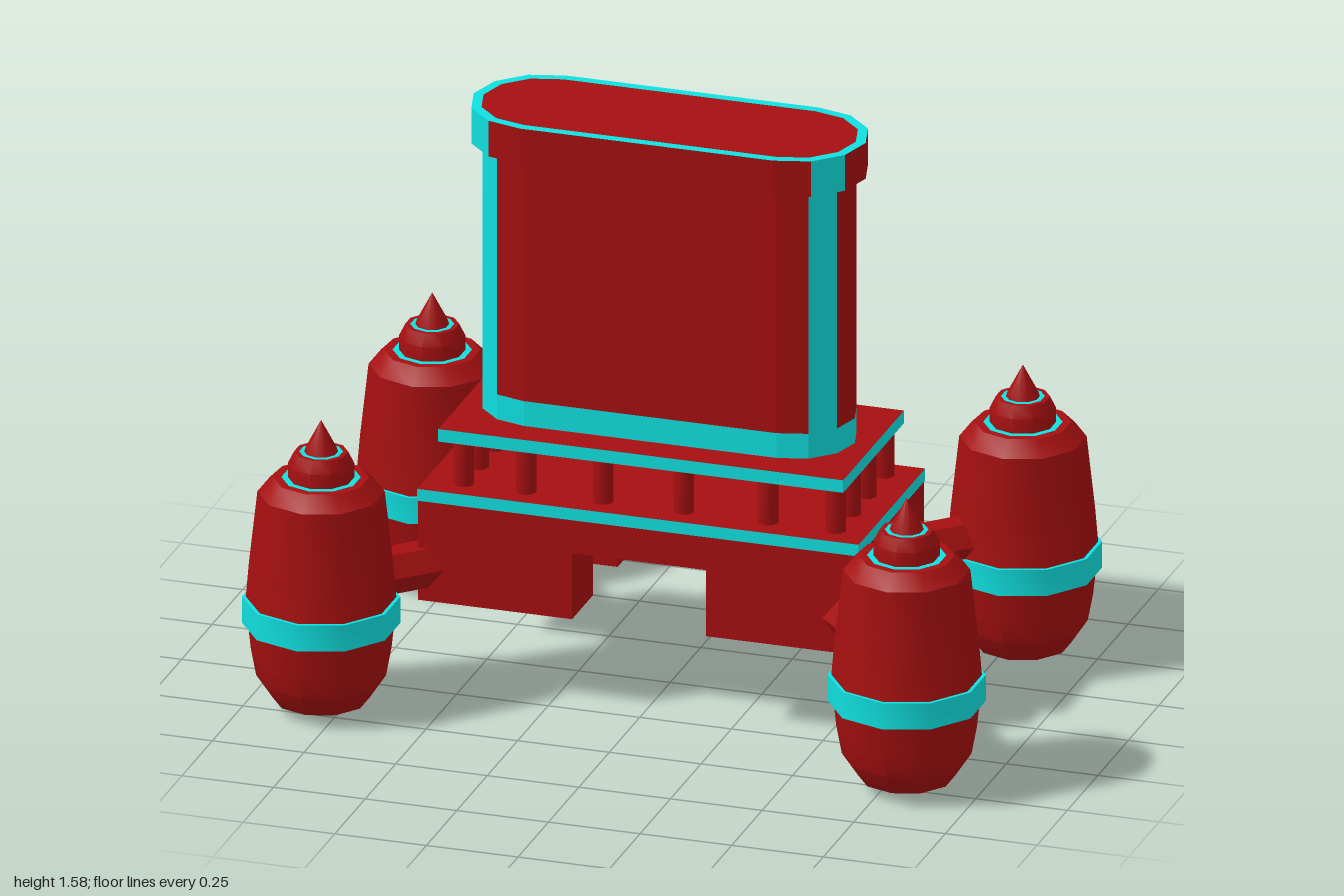
import * as THREE from 'three';
import { toCreasedNormals } from 'three/addons/utils/BufferGeometryUtils.js';

const red = new THREE.MeshStandardMaterial({ color: 0xa50f10 });
const cyan = new THREE.MeshStandardMaterial({ color: 0x10dede });
const Z0 = -0.008; // the body sits slightly behind the centre

function add(parent, name, geometry, material, x = 0, y = 0, z = 0) {
  const mesh = new THREE.Mesh(geometry, material);
  mesh.name = name;
  mesh.position.set(x, y, z);
  parent.add(mesh);
  return mesh;
}

// Outline with straight sides and six-sided half-round ends, counter-clockwise
function stadium(r) {
  const pts = [];
  for (const side of [1, -1]) {
    for (let i = 0; i <= 6; i++) {
      const a = (i / 6 - 0.5) * Math.PI;
      pts.push(new THREE.Vector2(side * (0.345 + r * Math.cos(a)), side * r * Math.sin(a)));
    }
  }
  return pts;
}

// Upright flat panels along the outline, for the chosen edges only
function walls(r, y0, y1, pick) {
  const pts = stadium(r), pos = [];
  pts.forEach((p, i) => {
    if (!pick(i)) return;
    const q = pts[(i + 1) % pts.length];
    pos.push(p.x, y0, -p.y, q.x, y0, -q.y, q.x, y1, -q.y);
    pos.push(p.x, y0, -p.y, q.x, y1, -q.y, p.x, y1, -p.y);
  });
  const g = new THREE.BufferGeometry();
  g.setAttribute('position', new THREE.Float32BufferAttribute(pos, 3));
  g.computeVertexNormals();
  return g;
}

// Horizontal stadium face, optionally a ring, facing up (1) or down (-1)
function plate(r, hole, facing) {
  const shape = new THREE.Shape(stadium(r));
  if (hole) shape.holes.push(new THREE.Path(stadium(hole)));
  return new THREE.ShapeGeometry(shape).rotateX(-facing * Math.PI / 2);
}

function lathe(points) {
  const g = new THREE.LatheGeometry(points.map(p => new THREE.Vector2(...p)), 10);
  return toCreasedNormals(g, 0.65);
}

function makeTower() {
  const tower = new THREE.Group();
  tower.name = 'tower';
  const strip = i => [1, 4, 8, 11].includes(i);
  const plain = i => !strip(i);
  add(tower, 'towerFoot', walls(0.16, 0.735, 0.805, () => true), cyan);
  add(tower, 'towerWalls', walls(0.16, 0.805, 1.48, plain), red);
  add(tower, 'towerStrips', walls(0.16, 0.805, 1.48, strip), cyan);
  add(tower, 'crownWalls', walls(0.19, 1.48, 1.58, plain), red);
  add(tower, 'crownStrips', walls(0.19, 1.48, 1.58, strip), cyan);
  add(tower, 'crownUnderside', plate(0.19, 0.16, -1), red, 0, 1.48);
  add(tower, 'crownRim', plate(0.19, 0.163, 1), cyan, 0, 1.58);
  add(tower, 'roof', plate(0.163, 0, 1), red, 0, 1.58);
  tower.position.set(-0.004, 0, Z0);
  return tower;
}

function makeBase() {
  const base = new THREE.Group();
  base.name = 'base';
  // Two walls, each with an opening in the middle
  const arch = new THREE.Shape([
    [-0.6, 0.26], [-0.18, 0.26], [-0.18, 0.445], [0.185, 0.445],
    [0.185, 0.26], [0.6, 0.26], [0.6, 0.54], [-0.6, 0.54],
  ].map(p => new THREE.Vector2(...p)));
  for (const z of [0.102, -0.272]) {
    add(base, 'baseWall', new THREE.ExtrudeGeometry(arch, { depth: 0.17, bevelEnabled: false }), red, 0, 0, z);
  }
  // Decks: red faces with cyan edges
  const edged = [cyan, cyan, red, red, cyan, cyan];
  add(base, 'lowerDeck', new THREE.BoxGeometry(1.205, 0.033, 0.546), edged, 0, 0.554, 0);
  add(base, 'upperDeck', new THREE.BoxGeometry(1.105, 0.035, 0.5), edged, 0, 0.718, 0);
  // Pillars around the edge between the decks
  const post = new THREE.CylinderGeometry(0.028, 0.028, 0.14, 8);
  const postShape = toCreasedNormals(post, 0.9);
  const xs = [-0.5, -0.33, -0.12, 0.1, 0.33, 0.515];
  const zs = [0.197, 0.077, -0.053, -0.2];
  xs.forEach((x, i) => zs.forEach((z, j) => {
    if (i === 0 || i === 5 || j === 0 || j === 3) add(base, 'pillar', postShape, red, x, 0.635, z);
  }));
  base.position.z = Z0;
  return base;
}

function makePod(x, z) {
  const pod = new THREE.Group();
  pod.name = 'pod';
  add(pod, 'podBottomKnob', lathe([[0, 0.003], [0.045, 0.01], [0.075, 0.026]]), red);
  add(pod, 'podBottomRing', lathe([[0.07, 0.022], [0.1, 0.022]]), cyan);
  add(pod, 'podLowerHull', lathe([[0.1, 0.022], [0.125, 0.032], [0.168, 0.095], [0.182, 0.17], [0.19, 0.245]]), red);
  add(pod, 'podBand', lathe([[0.188, 0.242], [0.205, 0.242], [0.205, 0.315], [0.19, 0.315]]), cyan);
  add(pod, 'podUpperHull', lathe([[0.195, 0.315], [0.187, 0.41], [0.165, 0.61], [0.125, 0.65], [0.103, 0.65]]), red);
  add(pod, 'podTopRing', lathe([[0.103, 0.65], [0.085, 0.65]]), cyan);
  add(pod, 'podCap', lathe([[0.086, 0.65], [0.086, 0.69], [0.07, 0.722], [0.057, 0.722]]), red);
  add(pod, 'podCapRing', lathe([[0.057, 0.722], [0.043, 0.722]]), cyan);
  add(pod, 'podSpike', lathe([[0.044, 0.722], [0.04, 0.735], [0, 0.81]]), red);

  // Six-sided arm running diagonally into the base
  const sx = Math.sign(x), sz = Math.sign(z);
  const armShape = new THREE.CylinderGeometry(0.063, 0.063, 0.28, 6).toNonIndexed().rotateZ(Math.PI / 2);
  armShape.computeVertexNormals();
  const arm = add(pod, 'arm', armShape, red, -sx * 0.16, 0.352, -sz * 0.16);
  arm.rotation.y = Math.atan2(sz, -sx);
  pod.position.set(x, 0, z);
  return pod;
}

export function createModel() {
  const model = new THREE.Group();
  model.name = 'towerCraft';
  model.add(makeTower(), makeBase());
  for (const [x, z] of [[0.803, 0.475], [0.803, -0.48], [-0.803, 0.45], [-0.803, -0.463]]) {
    model.add(makePod(x, z));
  }
  return model;
}
